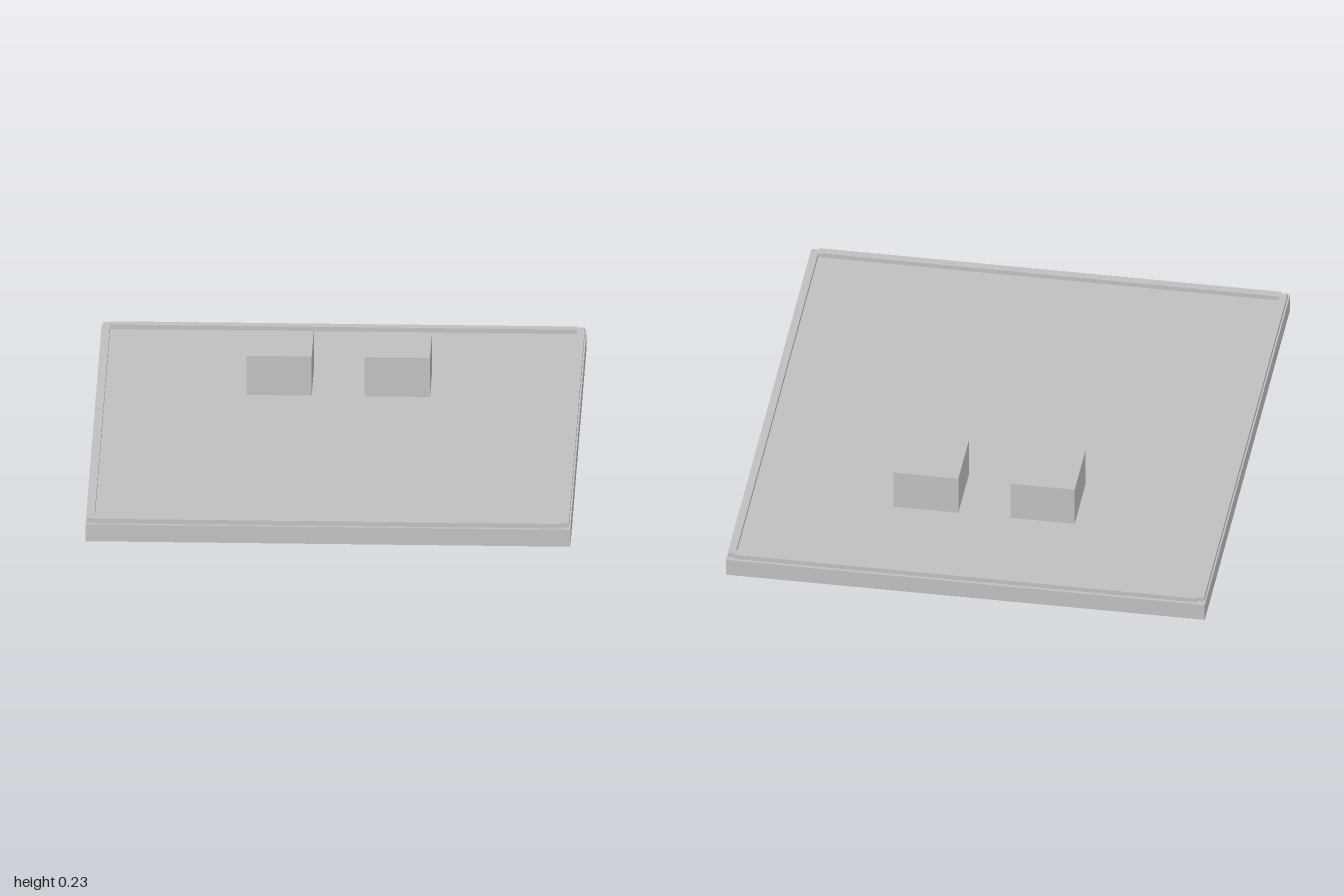
import * as THREE from 'three';

export function createModel() {
  const model = new THREE.Group();
  const grey = new THREE.MeshStandardMaterial({ color: 0xc0c0c0 });
  grey.name = 'light grey';

  // box given by its limits on each axis
  function block(name, [x0, x1], [y0, y1], [z0, z1]) {
    const mesh = new THREE.Mesh(new THREE.BoxGeometry(x1 - x0, y1 - y0, z1 - z0), grey);
    mesh.position.set((x0 + x1) / 2, (y0 + y1) / 2, (z0 + z1) / 2);
    mesh.name = name;
    model.add(mesh);
  }

  const top = 0.068;
  const rimTop = 0.086;

  // base slab
  block('baseSlab', [-0.904, 0.904], [0, top], [-1, 1]);

  // low rim: long strips on the sides, slightly longer-reaching strips at the ends
  block('leftRim', [0.871, 0.898], [top, rimTop], [-0.979, 0.979]);
  block('rightRim', [-0.898, -0.871], [top, rimTop], [-0.979, 0.979]);
  block('frontRim', [-0.871, 0.871], [top, rimTop], [0.956, 0.988]);
  block('backRim', [-0.871, 0.871], [top, rimTop], [-0.988, -0.956]);

  // two blocks standing towards the back
  block('leftBlock', [0.096, 0.341], [top, 0.225], [-0.567, -0.312]);
  block('rightBlock', [-0.343, -0.1], [top, 0.225], [-0.567, -0.312]);

  return model;
}
